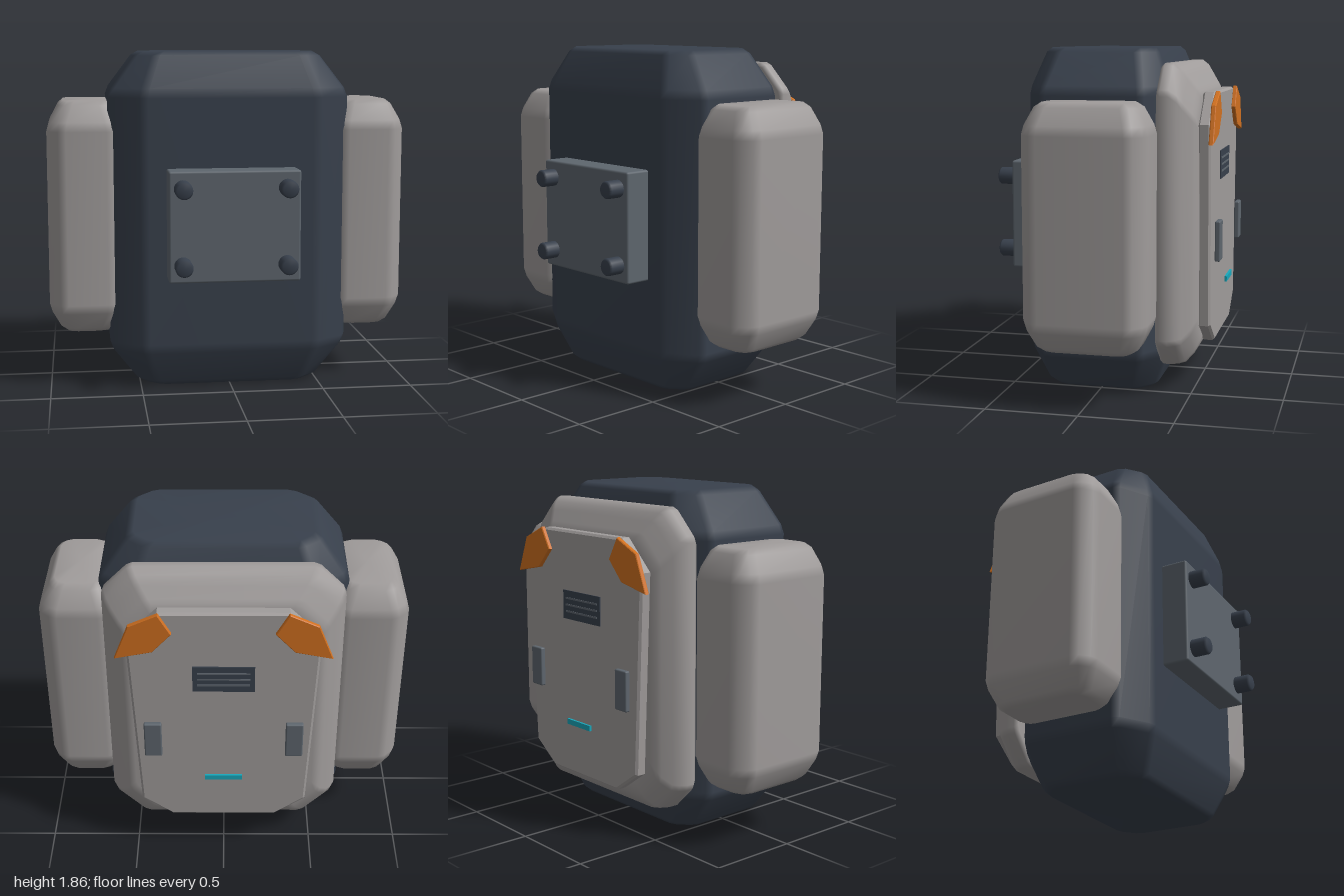
import * as THREE from 'three';
import { RoundedBoxGeometry } from 'three/addons/geometries/RoundedBoxGeometry.js';

const colour = (name, hex) => {
  const m = new THREE.MeshStandardMaterial({ color: hex });
  m.name = name;
  return m;
};

// Rectangle with chamfered corners, counter-clockwise
function octagon({ x0, x1, y0, y1, c, d = c }) {
  return [[x1, y0 + d], [x1, y1 - d], [x1 - c, y1], [x0 + c, y1],
    [x0, y1 - d], [x0, y0 + d], [x0 + c, y0], [x1 - c, y0]];
}

// Replace each corner by two points, r away along its edges
function soften(poly, r) {
  return poly.flatMap((p, i) => [poly.at(i - 1), poly[(i + 1) % poly.length]].map((q) => {
    const k = Math.min(0.45, r / Math.hypot(q[0] - p[0], q[1] - p[1]));
    return [p[0] + (q[0] - p[0]) * k, p[1] + (q[1] - p[1]) * k];
  }));
}

// Closed shell through octagonal sections along z, with softened edges
function shell(sections, r) {
  const base = sections.map((s) => soften(octagon(s), r).map(([x, y]) => new THREE.Vector3(x, y, s.t)));
  const toward = (a, b) => {
    const k = Math.min(0.45, r / Math.abs(a[0].z - b[0].z));
    return a.map((p, i) => p.clone().lerp(b[i], k));
  };
  const middle = (ring) => ring.reduce((m, p) => m.add(p), new THREE.Vector3()).divideScalar(ring.length);
  const inset = (ring) => {
    const m = middle(ring);
    return ring.map((p) => p.clone().lerp(m, r / p.distanceTo(m)));
  };
  const rings = [];
  base.forEach((ring, i) => {
    rings.push(i > 0 ? toward(ring, base[i - 1]) : inset(ring));
    rings.push(i < base.length - 1 ? toward(ring, base[i + 1]) : inset(ring));
  });
  const n = rings[0].length;
  const points = [...rings.flat(), middle(rings[0]), middle(rings.at(-1))];
  const index = [];
  for (let k = 0; k < rings.length - 1; k++) {
    for (let i = 0; i < n; i++) {
      const j = (i + 1) % n;
      const a = k * n + i, b = k * n + j;
      index.push(a, b, b + n, a, b + n, a + n);
    }
  }
  const last = (rings.length - 1) * n;
  for (let i = 0; i < n; i++) {
    const j = (i + 1) % n;
    index.push(points.length - 2, j, i, points.length - 1, last + i, last + j);
  }
  const g = new THREE.BufferGeometry().setFromPoints(points);
  g.setIndex(index);
  g.computeVertexNormals();
  return g;
}

// Flat plate from an outline, between two z values
function plate(points, z0, z1, bevel) {
  const shape = new THREE.Shape(points.map(([x, y]) => new THREE.Vector2(x, y)));
  const g = new THREE.ExtrudeGeometry(shape, {
    depth: z1 - z0 - 2 * bevel, bevelEnabled: true, bevelThickness: bevel,
    bevelSize: bevel, bevelOffset: -bevel, bevelSegments: 1,
  });
  return g.translate(0, 0, z0 + bevel);
}

export function createModel() {
  const group = new THREE.Group();
  const navy = colour('dark navy', 0x38404c);
  const grey = colour('light grey', 0xa09c9b);
  const steel = colour('steel grey', 0x5e666e);
  const orange = colour('orange', 0xd07020);
  const cyan = colour('cyan', 0x18a8bc);

  const add = (name, geometry, material, x = 0, y = 0, z = 0) => {
    const mesh = new THREE.Mesh(geometry, material);
    mesh.name = name;
    mesh.position.set(x, y, z);
    group.add(mesh);
    return mesh;
  };
  const box = (w, h, d, r) => new RoundedBoxGeometry(w, h, d, 2, r);
  // Symmetric section for upright shells
  const section = (t, hx, hz, c, d) => ({ t, x0: -hx, x1: hx, y0: -hz, y1: hz, c, d });

  // Main pack body
  const body = shell([
    section(0, 0.5, 0.305, 0.1, 0.09),
    section(0.225, 0.667, 0.39, 0.19, 0.12),
    section(1.635, 0.667, 0.39, 0.19, 0.12),
    section(1.86, 0.5, 0.305, 0.1, 0.09),
  ], 0.025).rotateX(-Math.PI / 2);
  add('body', body, navy, 0, 0, 0.015);

  // Side pods
  const pod = shell([
    section(0.3, 0.14, 0.26, 0.05),
    section(0.44, 0.215, 0.33, 0.08),
    section(1.45, 0.215, 0.33, 0.08),
    section(1.59, 0.14, 0.26, 0.05),
  ], 0.025).rotateX(-Math.PI / 2);
  for (const s of [-1, 1]) add(s > 0 ? 'leftPod' : 'rightPod', pod, grey, s * 0.785, 0, -0.012);

  // Raised back shell
  const back = (t, hx, y0, y1, c) => ({ t, x0: -hx, x1: hx, y0, y1, c });
  const backShell = shell([
    back(0.325, 0.64, 0.15, 1.78, 0.15),
    back(0.41, 0.64, 0.15, 1.78, 0.15),
    back(0.48, 0.58, 0.16, 1.68, 0.15),
    back(0.535, 0.51, 0.27, 1.6, 0.14),
  ], 0.02).rotateY(Math.PI);
  add('backShell', backShell, grey);

  // Tapered back cover
  const half = [[0.29, 0.25], [0.46, 0.37], [0.51, 1.46], [0.34, 1.625]];
  const outline = [...half, ...half.map(([x, y]) => [-x, y]).reverse()];
  add('backCover', plate(outline, -0.595, -0.525, 0.012), grey);

  // Corner tabs and grips on the cover
  const tab = [[0.49, 1.56], [0.336, 1.63], [0.268, 1.51], [0.37, 1.4], [0.568, 1.36]];
  for (const s of [-1, 1]) {
    const side = s > 0 ? 'left' : 'right';
    add(side + 'Tab', plate(tab.map(([x, y]) => [s * x, y]), -0.618, -0.592, 0.004), orange);
    add(side + 'Grip', box(0.095, 0.22, 0.03, 0.008), steel, s * 0.383, 0.83, -0.625);
  }

  // Vent with slats, and light bar
  add('vent', new THREE.BoxGeometry(0.33, 0.16, 0.008), navy, 0, 1.215, -0.596);
  for (let i = -1; i <= 1; i++) {
    add('ventSlat', new THREE.BoxGeometry(0.28, 0.01, 0.004), steel, 0, 1.215 + i * 0.037, -0.601);
  }
  add('lightBar', new THREE.BoxGeometry(0.205, 0.03, 0.013), cyan, 0, 0.56, -0.626);

  // Front mounting plate with four pins
  add('mountPlate', box(0.715, 0.605, 0.17, 0.012), steel, 0, 0.928, 0.465);
  const pin = new THREE.LatheGeometry(
    [[0, 0.1], [0.038, 0.1], [0.048, 0.088], [0.048, 0]].reverse().map(([r, y]) => new THREE.Vector2(r, y)), 20,
  ).rotateX(Math.PI / 2);
  for (const x of [-0.282, 0.282]) {
    for (const y of [0.722, 1.137]) add('mountPin', pin, navy, x, y, 0.542);
  }
  return group;
}
